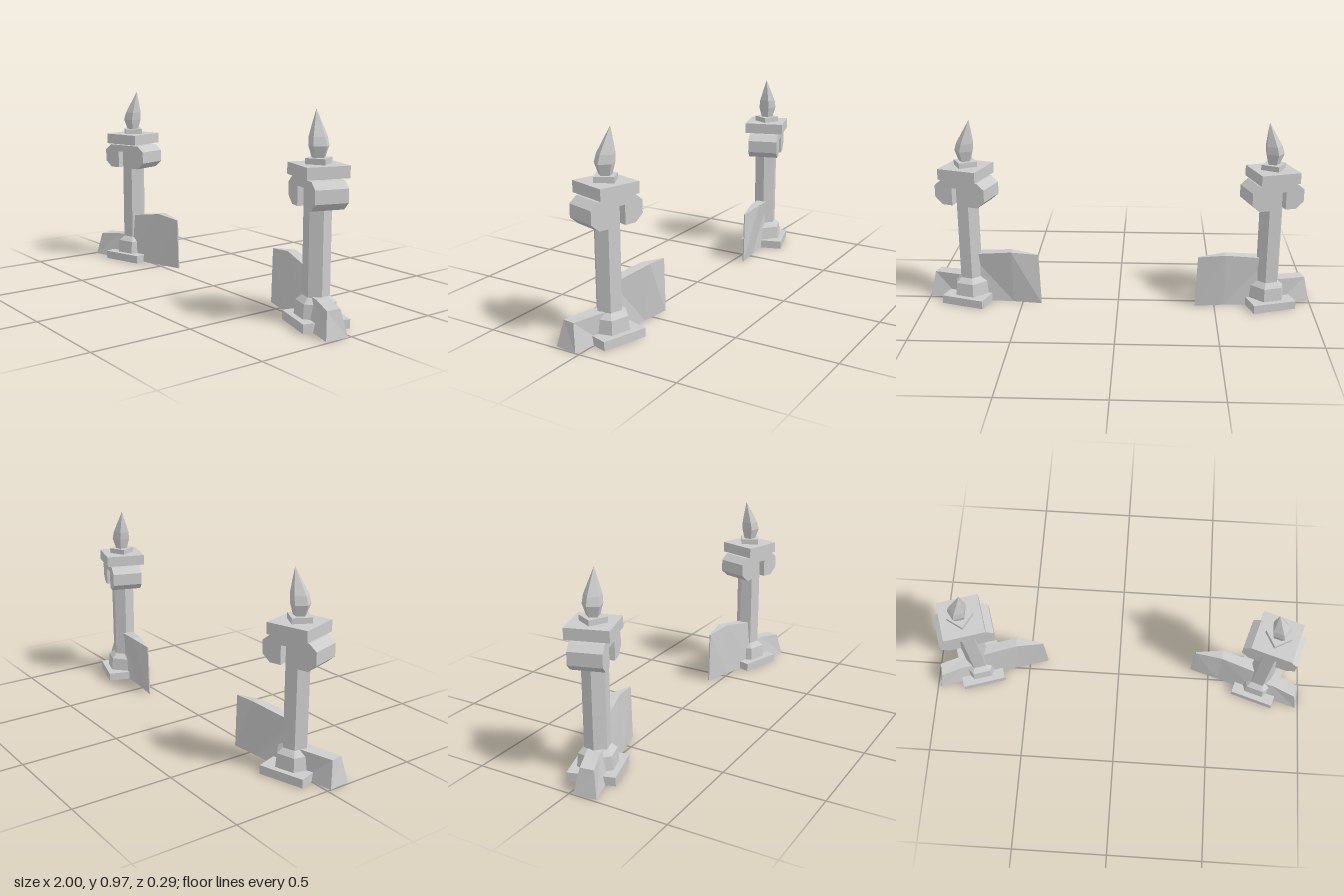
import * as THREE from 'three';

const material = new THREE.MeshStandardMaterial({ color: 0xcccccc, flatShading: true });

// Skins a series of matching closed rings and caps both ends.
function loft(rings) {
  const n = rings[0].length;
  const index = [];
  for (let i = 0; i < rings.length - 1; i++) {
    for (let j = 0; j < n; j++) {
      const k = (j + 1) % n;
      const a = i * n + j, b = i * n + k;
      index.push(a, b, b + n, a, b + n, a + n);
    }
  }
  const last = (rings.length - 1) * n;
  for (let j = 1; j < n - 1; j++) {
    index.push(0, j + 1, j, last, last + j, last + j + 1);
  }
  const geometry = new THREE.BufferGeometry();
  geometry.setAttribute('position', new THREE.Float32BufferAttribute(rings.flat(2), 3));
  geometry.setIndex(index);
  return geometry;
}

// Hexagonal or square prism spanning y0..y1, with a corner on the x axis.
function prism(rBottom, rTop, y0, y1, sides) {
  return new THREE.CylinderGeometry(rTop, rBottom, y1 - y0, sides)
    .rotateY(Math.PI / 2).translate(0, (y0 + y1) / 2, 0);
}

function slab(size, y0, y1) {
  return new THREE.BoxGeometry(size, y1 - y0, size).translate(0, (y0 + y1) / 2, 0);
}

// Capital: two chamfered lobes joined by a bridge, with a slot for the column.
function capitalGeometry() {
  const half = [[0.042, 0.63], [0.042, 0.538], [0.098, 0.538], [0.138, 0.573], [0.138, 0.636], [0.1, 0.667]];
  const outline = [...half, ...half.map(([x, y]) => [-x, y]).reverse()];
  const shape = new THREE.Shape(outline.map(([x, y]) => new THREE.Vector2(x, y)));
  return new THREE.ExtrudeGeometry(shape, { depth: 0.16, bevelEnabled: false }).translate(0, 0, -0.08);
}

// Flame: five-sided rings that lean toward the tip.
function flameGeometry() {
  const levels = [ // y, centre x, radius
    [0.757, 0, 0.032], [0.81, 0.003, 0.049], [0.85, -0.005, 0.044], [0.905, -0.018, 0.024], [0.967, -0.032, 0.0005],
  ];
  return loft(levels.map(([y, cx, r]) => Array.from({ length: 5 }, (_, j) => {
    const a = (j / 5) * Math.PI * 2 + 0.3;
    return [cx + r * Math.cos(a), y, -r * Math.sin(a)];
  })));
}

// Wall sections run from the outside inward: back bottom, front bottom, front top, back top.
function outerWallGeometry() {
  return loft([
    [[1, 0, 0.02], [0.985, 0, 0.135], [0.96, 0.125, 0.11], [0.975, 0.128, 0.045]],
    [[0.84, 0, -0.01], [0.84, 0, 0.09], [0.84, 0.138, 0.06], [0.84, 0.138, -0.012]],
    [[0.77, 0, -0.03], [0.77, 0, 0.06], [0.77, 0.14, 0.04], [0.77, 0.14, -0.025]],
  ]);
}

function innerWallGeometry() {
  return loft([
    [[0.77, 0, -0.03], [0.77, 0, 0.06], [0.77, 0.255, 0.04], [0.77, 0.255, -0.02]],
    [[0.55, 0, -0.04], [0.55, 0, -0.01], [0.55, 0.289, -0.025], [0.55, 0.289, -0.073]],
    [[0.4, 0, -0.06], [0.4, 0, -0.054], [0.41, 0.272, -0.054], [0.41, 0.272, -0.06]],
  ]);
}

// Bakes placement into a mesh; the mirrored side gets its corner order reversed.
function bake(name, source, matrix, mirrored) {
  const geometry = source.index ? source.toNonIndexed() : source.clone();
  geometry.applyMatrix4(matrix);
  if (mirrored) {
    geometry.scale(-1, 1, 1);
    const p = geometry.attributes.position;
    const b = new THREE.Vector3(), c = new THREE.Vector3();
    for (let i = 0; i < p.count; i += 3) {
      b.fromBufferAttribute(p, i + 1);
      c.fromBufferAttribute(p, i + 2);
      p.setXYZ(i + 1, c.x, c.y, c.z);
      p.setXYZ(i + 2, b.x, b.y, b.z);
    }
  }
  geometry.computeVertexNormals();
  const mesh = new THREE.Mesh(geometry, material);
  mesh.name = name;
  return mesh;
}

export function createModel() {
  const model = new THREE.Group();
  model.name = 'gateway';

  const pillarParts = {
    basePlate: slab(0.23, 0, 0.043),
    plinth: prism(0.099, 0.092, 0.043, 0.11, 6),
    plinthBevel: prism(0.092, 0.063, 0.11, 0.135, 6),
    column: prism(0.063, 0.063, 0.135, 0.68, 6),
    capital: capitalGeometry(),
    capSlab: slab(0.207, 0.675, 0.73),
    flameStand: prism(0.066, 0.066, 0.73, 0.757, 4),
    flame: flameGeometry(),
  };
  const wallParts = { outerWall: outerWallGeometry(), innerWall: innerWallGeometry() };

  // Each pillar turns slightly toward the middle of the gateway.
  const pillarPlace = new THREE.Matrix4().makeRotationY(-0.305).setPosition(0.773, 0, 0);
  const wallPlace = new THREE.Matrix4();

  for (const side of ['left', 'right']) {
    const mirrored = side === 'right';
    const half = new THREE.Group();
    half.name = side + 'Gatepost';
    for (const [name, g] of Object.entries(pillarParts)) half.add(bake(name, g, pillarPlace, mirrored));
    for (const [name, g] of Object.entries(wallParts)) half.add(bake(name, g, wallPlace, mirrored));
    model.add(half);
  }
  return model;
}
